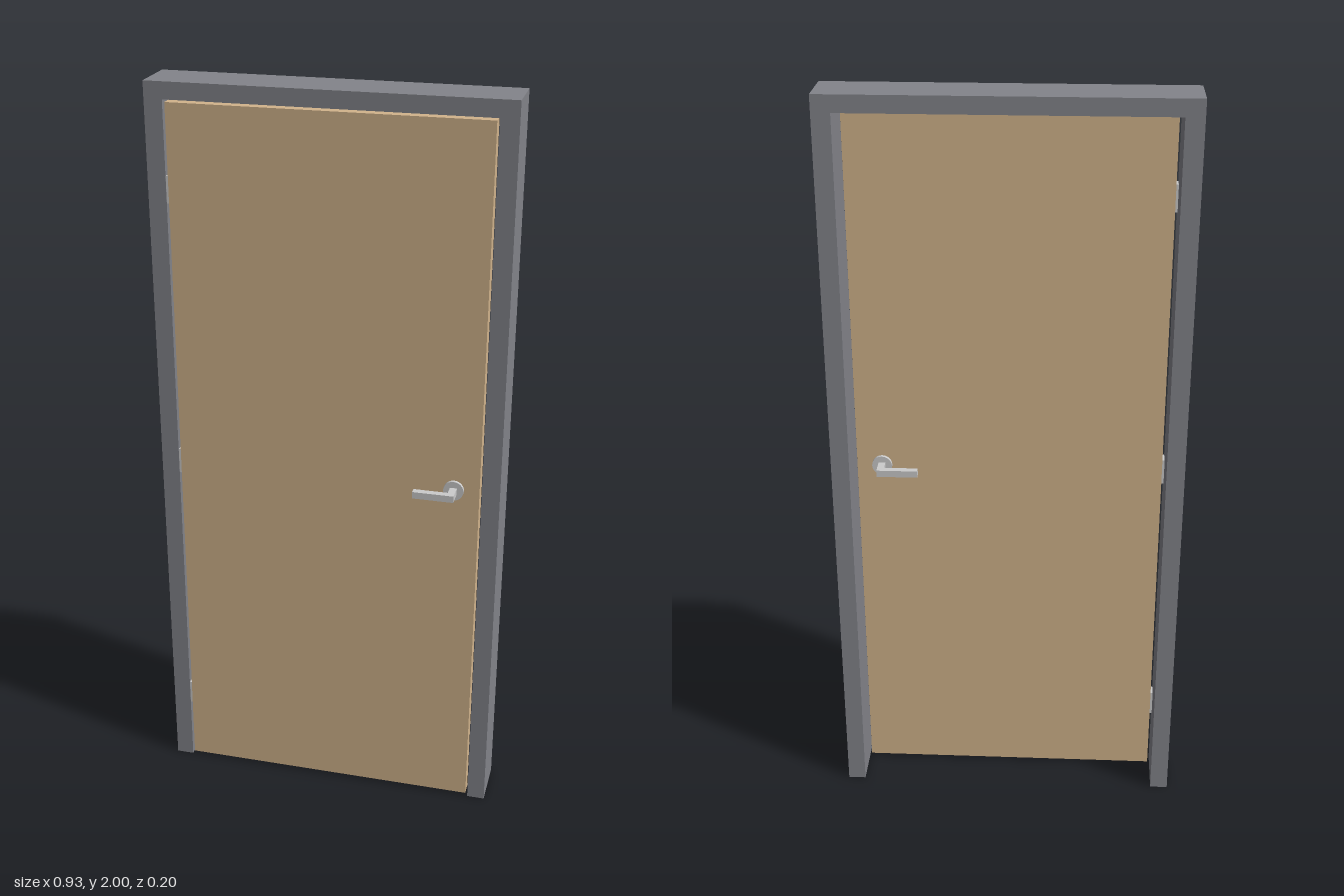
import * as THREE from 'three';

const frameMat = new THREE.MeshStandardMaterial({ color: 0x83848a });
const doorMat = new THREE.MeshStandardMaterial({ color: 0xd2b48c });
const metalMat = new THREE.MeshStandardMaterial({ color: 0xcccccc });

// Frame and leaf sizes
const W = 0.465, H = 2, OPEN_W = 0.417, OPEN_H = 1.956;
const BACK = -0.1, FRONT = 0.04;
const LEAF_W = 0.411, LEAF_BOTTOM = 0.01, LEAF_TOP = 1.95, LEAF_BACK = 0.004;

function polygon(points) {
  return new THREE.Shape(points.map(([x, y]) => new THREE.Vector2(x, y)));
}

function addMesh(parent, name, geometry, material, x = 0, y = 0, z = 0) {
  const mesh = new THREE.Mesh(geometry, material);
  mesh.name = name;
  mesh.position.set(x, y, z);
  parent.add(mesh);
  return mesh;
}

// Rosette, neck and mitred lever, pointing out along +z from the origin
function createHandle(name) {
  const handle = new THREE.Group();
  handle.name = name;

  const rose = new THREE.CylinderGeometry(0.027, 0.027, 0.009, 24).rotateX(Math.PI / 2);
  addMesh(handle, 'rosette', rose, metalMat, 0, 0, 0.0045);

  // L-shaped outline in plan: x across the door, y away from it
  const t = 0.0092, reach = 0.058, inner = reach - 2 * t;
  const plan = polygon([[-t, 0], [t, 0], [t, reach], [-0.1, reach], [-0.1, inner], [-t, inner]]);
  const lever = new THREE.ExtrudeGeometry(plan, { depth: 2 * t, bevelEnabled: false });
  lever.translate(0, 0, -t).rotateX(Math.PI / 2);
  addMesh(handle, 'lever', lever, metalMat);
  return handle;
}

export function createModel() {
  const model = new THREE.Group();
  model.name = 'door';

  // Frame: two jambs and a head, open at the floor
  const outline = polygon([
    [-W, 0], [-OPEN_W, 0], [-OPEN_W, OPEN_H], [OPEN_W, OPEN_H],
    [OPEN_W, 0], [W, 0], [W, H], [-W, H],
  ]);
  const frame = new THREE.ExtrudeGeometry(outline, { depth: FRONT - BACK, bevelEnabled: false });
  addMesh(model, 'frame', frame, frameMat, 0, 0, BACK);

  // Door leaf, flush with the front of the frame and clear of it all round
  const thick = FRONT - LEAF_BACK;
  addMesh(model, 'doorLeaf', new THREE.BoxGeometry(2 * LEAF_W, LEAF_TOP - LEAF_BOTTOM, thick), doorMat,
    0, (LEAF_TOP + LEAF_BOTTOM) / 2, (FRONT + LEAF_BACK) / 2);

  // Three hinges bridging the gap on one side
  for (const y of [0.22, 0.975, 1.73]) {
    addMesh(model, 'hinge', new THREE.BoxGeometry(OPEN_W - LEAF_W, 0.07, thick - 0.002), metalMat,
      -(OPEN_W + LEAF_W) / 2, y, (FRONT + LEAF_BACK) / 2);
  }

  // A lever handle on each face, the back one turned over about the lever axis
  const front = createHandle('frontHandle');
  front.position.set(0.343, 0.98, FRONT);
  const back = createHandle('backHandle');
  back.position.set(0.343, 0.98, LEAF_BACK);
  back.rotation.x = Math.PI;
  model.add(front, back);

  return model;
}
